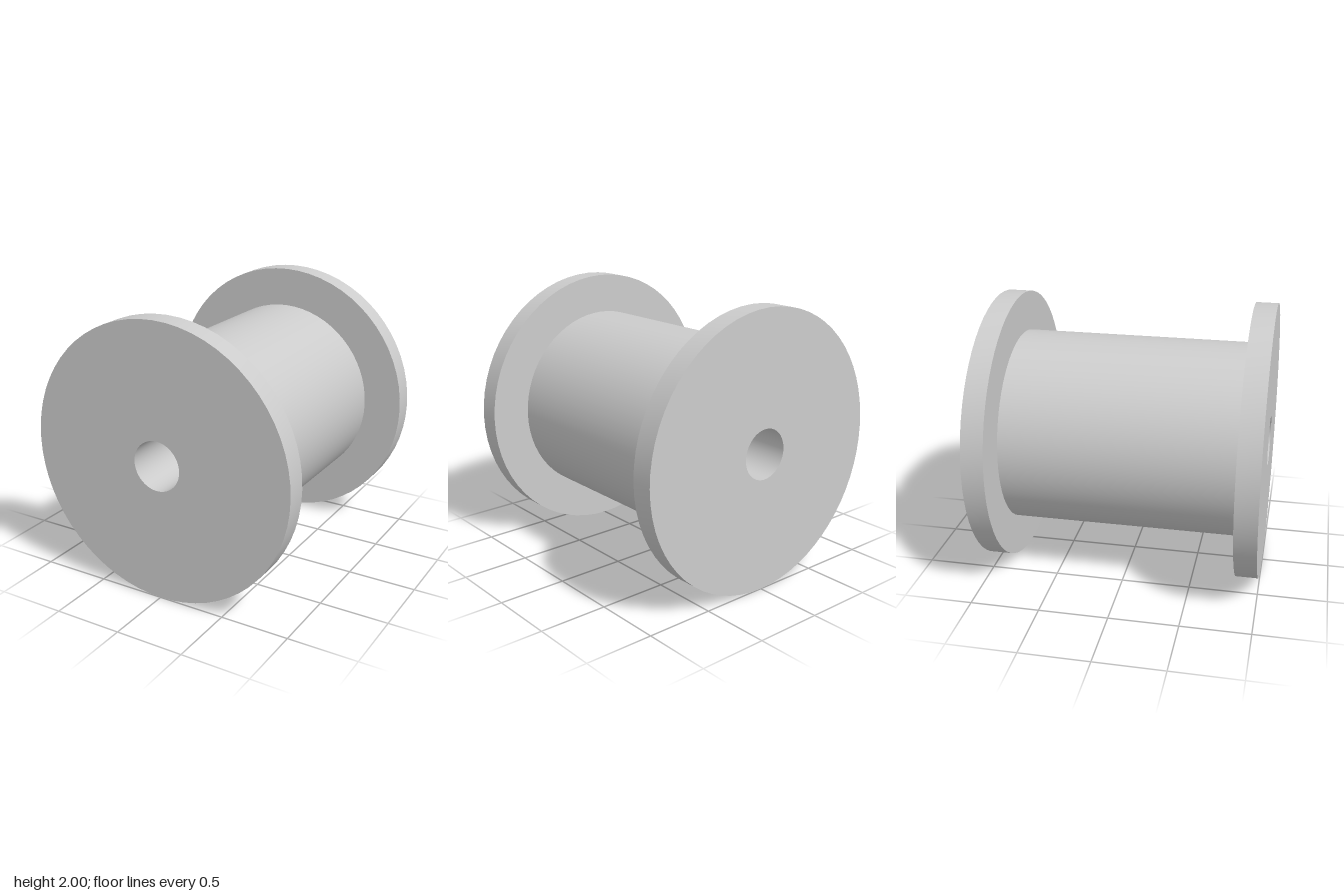
import * as THREE from 'three';
import { toCreasedNormals } from 'three/addons/utils/BufferGeometryUtils.js';

const SEGMENTS = 64;
const FLANGE_R = 1, DRUM_R = 0.71, BORE_R = 0.18;
const END_Z = 1, FLANGE_Z = 0.84;

export function createModel() {
  const spool = new THREE.Group();
  spool.name = 'spool';
  spool.position.y = FLANGE_R;
  const material = new THREE.MeshStandardMaterial({ color: 0xcccccc });

  // Revolve [radius, z] points around the z axis, keeping rims sharp
  function revolve(name, profile) {
    const points = profile.map(([r, z]) => new THREE.Vector2(r, z));
    const lathe = new THREE.LatheGeometry(points, SEGMENTS).rotateX(Math.PI / 2);
    const mesh = new THREE.Mesh(toCreasedNormals(lathe, Math.PI / 6), material);
    mesh.name = name;
    spool.add(mesh);
    return mesh;
  }

  // End flanges: inner face, rim and outer face down to the bore
  const flange = [[DRUM_R, FLANGE_Z], [FLANGE_R, FLANGE_Z], [FLANGE_R, END_Z], [BORE_R, END_Z]];
  revolve('frontFlange', flange);
  revolve('backFlange', flange).rotation.y = Math.PI;

  // Winding drum between the flanges
  revolve('drum', [[DRUM_R, -FLANGE_Z], [DRUM_R, FLANGE_Z]]);

  // Through hole, facing inward
  revolve('bore', [[BORE_R, END_Z], [BORE_R, -END_Z]]);

  return spool;
}
